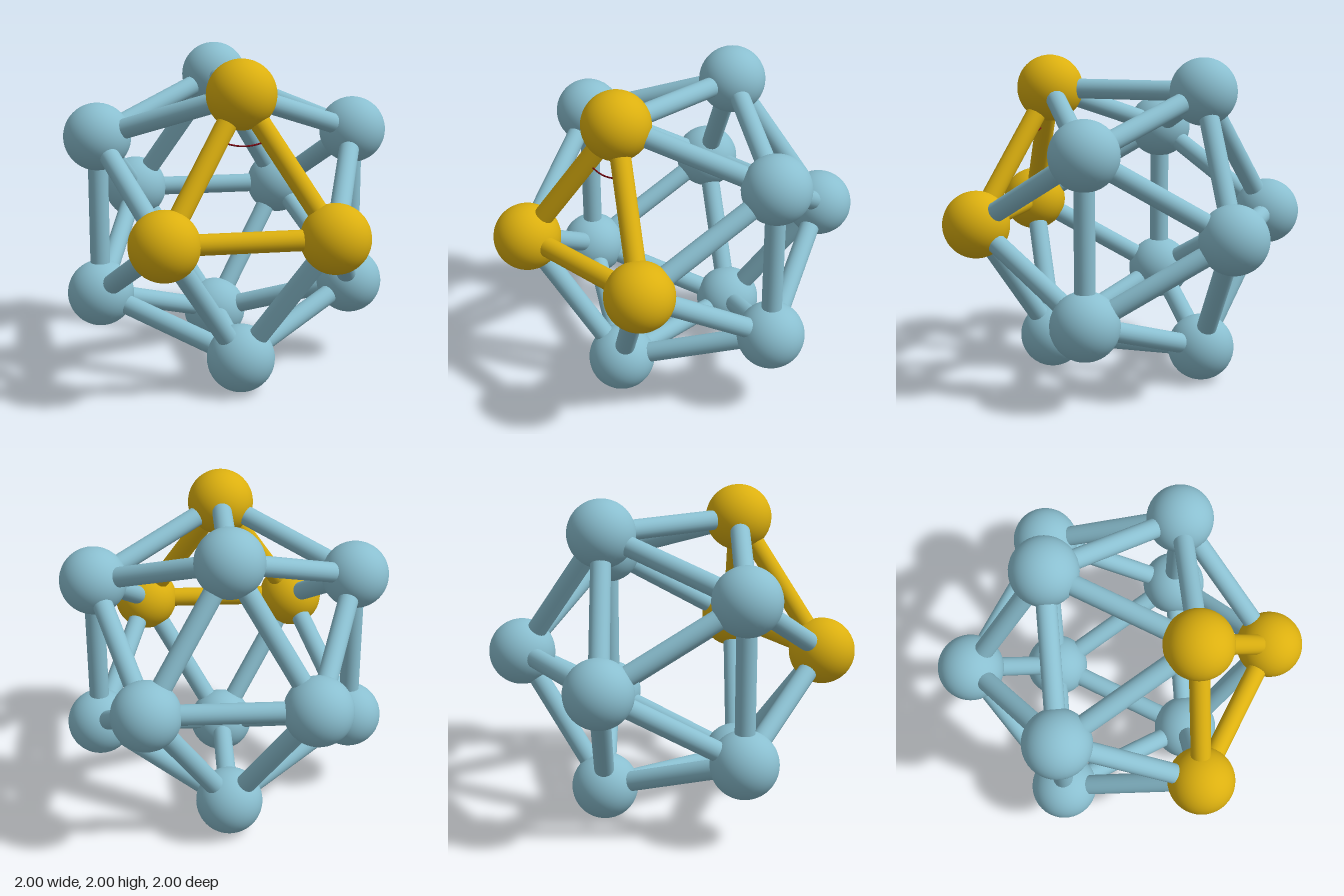
import * as THREE from 'three';

const LONG = 0.795, SHORT = 0.491;      // golden-ratio offsets of the corners
const BALL = 0.205, ROD = 0.061;

export function createModel() {
  const model = new THREE.Group();
  model.name = 'icosahedronFrame';

  const material = (name, color) => {
    const m = new THREE.MeshStandardMaterial({ color });
    m.name = name;
    return m;
  };
  const blue = material('paleBlue', 0x8abfd0);
  const gold = material('gold', 0xdcb00f);
  const red = material('darkRed', 0x7c0a14);

  const add = (name, geometry, mat) => {
    const mesh = new THREE.Mesh(geometry, mat);
    mesh.name = name;
    model.add(mesh);
    return mesh;
  };

  // Twelve corners: three mutually perpendicular golden rectangles
  const corners = [];
  for (const s of [1, -1]) {
    for (const t of [1, -1]) {
      corners.push(
        new THREE.Vector3(0, 1 + s * LONG, t * SHORT),
        new THREE.Vector3(s * SHORT, 1, t * LONG),
        new THREE.Vector3(s * LONG, 1 + t * SHORT, 0),
      );
    }
  }

  // The highlighted face: top front corner and the two front corners
  const apex = new THREE.Vector3(0, 1 + LONG, SHORT);
  const isGold = (p) => p.distanceTo(apex) < 0.01 || p.z > LONG - 0.01;

  // Balls at the corners
  const ballGeometry = new THREE.SphereGeometry(BALL, 40, 24);
  for (const p of corners) {
    add('cornerBall', ballGeometry, isGold(p) ? gold : blue).position.copy(p);
  }

  // Rods between neighbouring corners
  const edge = 2 * SHORT;
  const rodGeometry = new THREE.CylinderGeometry(ROD, ROD, edge, 24);
  const up = new THREE.Vector3(0, 1, 0);
  corners.forEach((a, i) => {
    for (const b of corners.slice(i + 1)) {
      if (a.distanceTo(b) > edge * 1.1) continue;
      const rod = add('edgeRod', rodGeometry, isGold(a) && isGold(b) ? gold : blue);
      rod.position.addVectors(a, b).multiplyScalar(0.5);
      rod.quaternion.setFromUnitVectors(up, b.clone().sub(a).normalize());
    }
  });

  // Angle arc under the apex, lying in the plane of the highlighted face
  const arcGeometry = new THREE.TorusGeometry(0.3, 0.005, 8, 32, Math.PI / 3);
  arcGeometry.rotateZ(-2 * Math.PI / 3);
  arcGeometry.rotateX(-Math.atan2(LONG - SHORT, LONG));
  add('angleArc', arcGeometry, red).position.copy(apex);

  return model;
}
